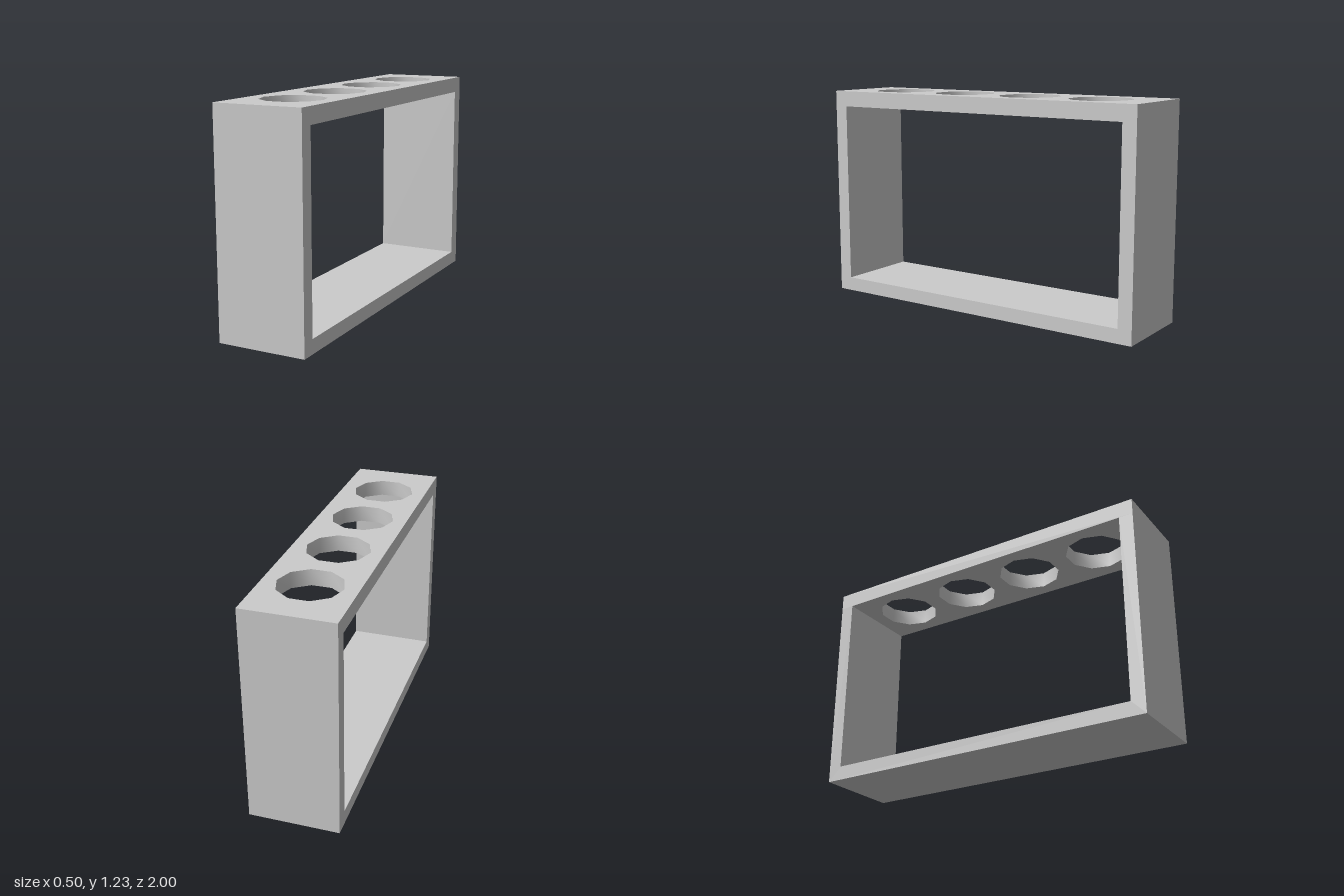
import * as THREE from 'three';
import { toCreasedNormals } from 'three/addons/utils/BufferGeometryUtils.js';

const WIDTH = 0.5, HALF_LENGTH = 1, HEIGHT = 1.225;
const WALL = 0.08, TOP = 0.09;
const HOLE_RADIUS = 0.175, HOLE_SIDES = 10;
const HOLE_CENTRES = [-0.666, -0.223, 0.219, 0.66];

const points = (list) => list.map(([x, y]) => new THREE.Vector2(x, y));

export function createModel() {
  const group = new THREE.Group();
  const material = new THREE.MeshStandardMaterial({ color: 0xcccccc });
  const add = (name, geometry) => {
    const mesh = new THREE.Mesh(geometry, material);
    mesh.name = name;
    group.add(mesh);
  };

  // Base and two end walls: one U-shaped profile in z and y, swept across x
  const underside = HEIGHT - TOP, inner = HALF_LENGTH - WALL;
  const profile = new THREE.Shape(points([
    [-HALF_LENGTH, 0], [HALF_LENGTH, 0], [HALF_LENGTH, underside], [inner, underside],
    [inner, WALL], [-inner, WALL], [-inner, underside], [-HALF_LENGTH, underside],
  ]));
  const stand = new THREE.ExtrudeGeometry(profile, { depth: WIDTH, bevelEnabled: false });
  stand.rotateY(-Math.PI / 2).translate(WIDTH / 2, 0, 0);
  add('baseAndEndWalls', stand);

  // Top board with a row of ten-sided holes
  const w = WIDTH / 2, l = HALF_LENGTH;
  const board = new THREE.Shape(points([[-w, -l], [w, -l], [w, l], [-w, l]]));
  for (const z of HOLE_CENTRES) {
    const ring = [];
    for (let i = 0; i < HOLE_SIDES; i++) {
      const a = (-i / HOLE_SIDES) * Math.PI * 2;
      ring.push([HOLE_RADIUS * Math.cos(a), HOLE_RADIUS * Math.sin(a) - z]);
    }
    board.holes.push(new THREE.Path(points(ring)));
  }
  const top = new THREE.ExtrudeGeometry(board, { depth: TOP, bevelEnabled: false });
  top.rotateX(-Math.PI / 2).translate(0, underside, 0);
  // Smooth hole walls, sharp rims and corners
  add('topBoard', toCreasedNormals(top, 0.7));

  return group;
}
